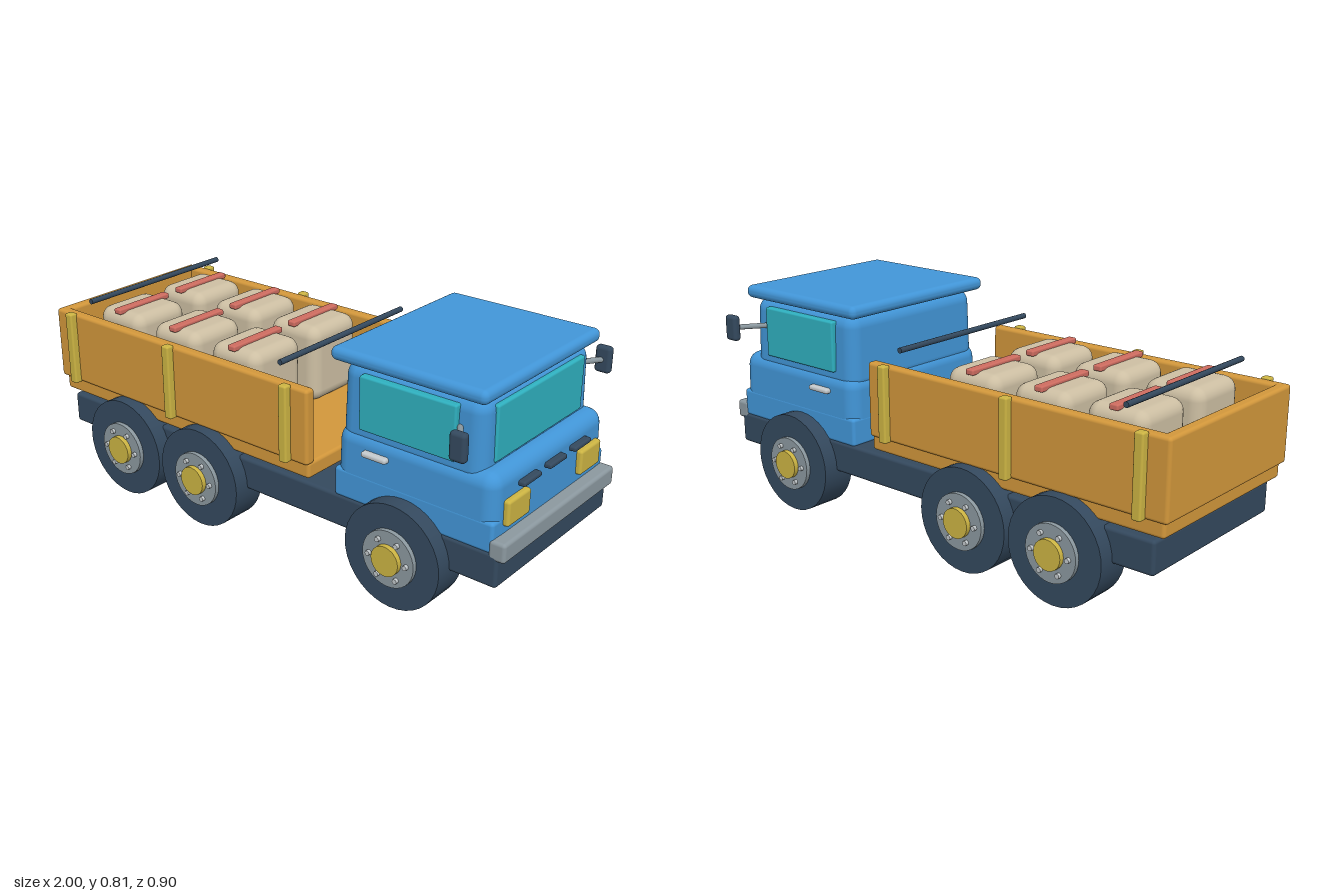
import * as THREE from 'three';
import { RoundedBoxGeometry } from 'three/addons/geometries/RoundedBoxGeometry.js';

const paint = (name, color) => {
  const m = new THREE.MeshStandardMaterial({ color });
  m.name = name;
  return m;
};

export function createModel() {
  const blue = paint('cab blue', 0x4296d8);
  const glass = paint('window teal', 0x2fb0bf);
  const dark = paint('dark slate', 0x34495e);
  const wood = paint('bed orange', 0xd2973b);
  const yellow = paint('yellow', 0xccb443);
  const grey = paint('metal grey', 0x8b989f);
  const silver = paint('light silver', 0xc3c9cc);
  const cloth = paint('sack beige', 0xcdbfa3);
  const red = paint('strap red', 0xce6c60);

  const truck = new THREE.Group();
  truck.name = 'truck';

  const add = (name, geometry, material, parent = truck) => {
    const mesh = new THREE.Mesh(geometry, material);
    mesh.name = name;
    parent.add(mesh);
    return mesh;
  };
  // Rounded box given by its limits on each axis
  const box = (name, material, [x0, x1], [y0, y1], [z0, z1], radius = 0.01, parent = truck) => {
    const w = x1 - x0, h = y1 - y0, d = z1 - z0;
    const r = Math.min(radius, w * 0.49, h * 0.49, d * 0.49);
    const mesh = add(name, new RoundedBoxGeometry(w, h, d, 3, r), material, parent);
    mesh.position.set((x0 + x1) / 2, (y0 + y1) / 2, (z0 + z1) / 2);
    return mesh;
  };
  // Cylinder along z, from z0 to z1
  const disc = (name, material, radius, z0, z1, parent, sides = 32) => {
    const g = new THREE.CylinderGeometry(radius, radius, z1 - z0, sides).rotateX(Math.PI / 2);
    const mesh = add(name, g, material, parent);
    mesh.position.z = (z0 + z1) / 2;
    return mesh;
  };
  // Draw the top of a box in a little
  const taper = (mesh, height, sx, sz) => {
    const p = mesh.geometry.attributes.position;
    for (let i = 0; i < p.count; i++) {
      const t = p.getY(i) / height + 0.5;
      p.setX(i, p.getX(i) * (1 - sx * t));
      p.setZ(i, p.getZ(i) * (1 - sz * t));
    }
    mesh.geometry.computeBoundingSphere();
  };

  // Chassis and bumper
  box('chassis', dark, [-0.95, 0.975], [0.182, 0.3], [-0.343, 0.343], 0.012);
  box('bumper', grey, [0.94, 1], [0.277, 0.345], [-0.343, 0.343], 0.012);

  // Cab
  const cab = new THREE.Group();
  cab.name = 'cab';
  truck.add(cab);
  taper(box('lowerCab', blue, [0.342, 0.955], [0.295, 0.55], [-0.342, 0.342], 0.05, cab), 0.255, 0.015, 0.015);
  // Square foot so that the lower cab meets the chassis
  box('cabBase', blue, [0.343, 0.953], [0.295, 0.4], [-0.341, 0.341], 0.012, cab);
  taper(box('upperCab', blue, [0.352, 0.895], [0.49, 0.772], [-0.328, 0.328], 0.05, cab), 0.282, 0.02, 0.025);
  box('roof', blue, [0.323, 0.907], [0.768, 0.816], [-0.346, 0.346], 0.022, cab);
  box('windshield', glass, [0.872, 0.9], [0.555, 0.745], [-0.26, 0.26], 0.008, cab);
  for (const z of [-0.155, 0, 0.155]) {
    box('grilleSlot', dark, [0.945, 0.975], [0.476, 0.494], [z - 0.052, z + 0.052], 0.007, cab);
  }
  for (const s of [-1, 1]) {
    const span = (a, b) => (s > 0 ? [a, b] : [-b, -a]);
    box('headlight', yellow, [0.94, 0.972], [0.37, 0.458], span(0.156, 0.285), 0.01, cab);
    box('sideWindow', glass, [0.44, 0.803], [0.558, 0.745], span(0.31, 0.341), 0.007, cab);
    box('doorHandle', silver, [0.462, 0.56], [0.475, 0.495], span(0.33, 0.359), 0.009, cab);
    const arm = new THREE.LineCurve3(
      new THREE.Vector3(0.8, 0.672, s * 0.31), new THREE.Vector3(0.88, 0.672, s * 0.43));
    add('mirrorArm', new THREE.TubeGeometry(arm, 1, 0.01, 10), grey, cab);
    box('mirror', dark, [0.85, 0.908], [0.624, 0.72], span(0.42, 0.451), 0.013, cab);
  }

  // Open-fronted cargo bed
  const bed = new THREE.Group();
  bed.name = 'cargoBed';
  truck.add(bed);
  box('bedFloor', wood, [-0.985, 0.24], [0.315, 0.375], [-0.347, 0.347], 0.012, bed);
  box('tailBoard', wood, [-1, -0.957], [0.368, 0.64], [-0.358, 0.358], 0.012, bed);
  for (const s of [-1, 1]) {
    const span = (a, b) => (s > 0 ? [a, b] : [-b, -a]);
    box('sideBoard', wood, [-1, 0.242], [0.368, 0.64], span(0.317, 0.359), 0.012, bed);
    for (const x of [-0.905, -0.39, 0.155]) {
      box('sidePost', yellow, [x - 0.017, x + 0.017], [0.366, 0.645], span(0.352, 0.385), 0.007, bed);
    }
  }
  for (const x of [-0.825, 0.107]) {
    const rod = disc('crossRod', dark, 0.01, -0.335, 0.335, bed, 12);
    rod.position.set(x, 0.699, 0);
  }

  // Strapped sacks
  for (const x of [-0.745, -0.455, -0.165]) {
    for (const z of [-0.16, 0.155]) {
      box('sack', cloth, [x - 0.113, x + 0.113], [0.372, 0.662], [z - 0.124, z + 0.124], 0.045, bed);
      box('strap', red, [x - 0.017, x + 0.017], [0.652, 0.673], [z - 0.126, z + 0.126], 0.006, bed);
    }
  }

  // Wheels with hubs and bolts
  for (const x of [-0.615, -0.23, 0.622]) {
    for (const s of [-1, 1]) {
      const wheel = new THREE.Group();
      wheel.name = 'wheel';
      wheel.position.set(x, 0.188, 0);
      wheel.rotation.y = s > 0 ? 0 : Math.PI;
      truck.add(wheel);
      disc('tire', dark, 0.185, 0.27, 0.4, wheel, 36);
      disc('rim', grey, 0.1, 0.39, 0.416, wheel);
      disc('hub', yellow, 0.053, 0.4, 0.434, wheel, 20);
      for (let i = 0; i < 6; i++) {
        const a = (i * Math.PI) / 3;
        const bolt = disc('bolt', silver, 0.009, 0.41, 0.428, wheel, 8);
        bolt.position.x = Math.cos(a) * 0.073;
        bolt.position.y = Math.sin(a) * 0.073;
      }
    }
  }
  return truck;
}
